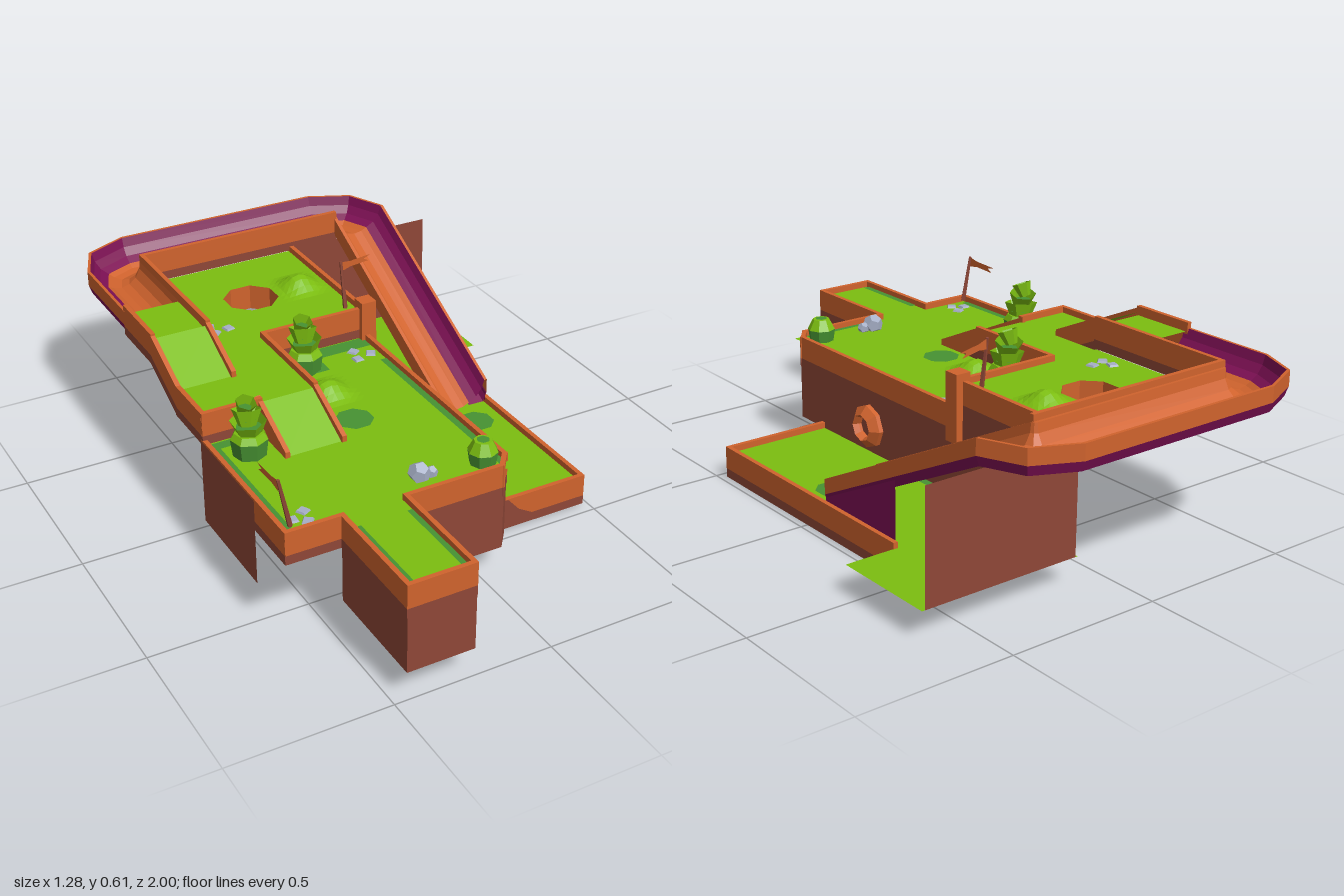
import * as THREE from 'three';

const material = (name, color) => {
  const m = new THREE.MeshStandardMaterial({ color, flatShading: true, side: THREE.DoubleSide });
  m.name = name;
  return m;
};

export function createModel() {
  const root = new THREE.Group();
  root.name = 'miniGolfCourse';
  const turf = material('turf green', 0x7cbe10);
  const moss = material('moss green', 0x479232);
  const orange = material('orange clay', 0xd0632d);
  const brown = material('brown clay', 0x8f4737);
  const purple = material('purple', 0x7d1054);
  const stone = material('grey stone', 0xa6afc6);
  const LOW = 0.355, MID = 0.445, HIGH = 0.535, BASE = 0.09;

  const add = (name, geo, mat, x = 0, y = 0, z = 0, parent = root) => {
    const m = new THREE.Mesh(geo, mat);
    m.name = name;
    m.position.set(x, y, z);
    parent.add(m);
    return m;
  };
  const poly = pts => new THREE.Shape(pts.map(p => new THREE.Vector2(...p)));

  // Floors: rectangle between x and z limits, height given at both z ends
  const floor = (name, x1, x2, z1, z2, y1, y2 = y1, mat = turf) => {
    const g = new THREE.PlaneGeometry(x2 - x1, z2 - z1).rotateX(-Math.PI / 2);
    g.translate((x1 + x2) / 2, 0, (z1 + z2) / 2);
    const p = g.attributes.position;
    for (let i = 0; i < p.count; i++) p.setY(i, p.getZ(i) < (z1 + z2) / 2 ? y1 : y2);
    return add(name, g, mat);
  };
  floor('teeFloor', -0.455, -0.255, 0.63, 0.99, LOW);
  floor('lowerFloor', -0.63, 0.1, 0.27, 0.63, LOW);
  floor('lowerPocketFloor', -0.63, -0.445, 0.09, 0.27, LOW);
  floor('lowerBackFloor', -0.26, 0.1, -0.265, 0.27, LOW);
  floor('firstRamp', -0.445, -0.26, 0.09, 0.27, MID, LOW);
  floor('middleFloor', -0.63, -0.26, -0.09, 0.09, MID);
  floor('middlePassage', -0.445, -0.26, -0.265, -0.09, MID);
  floor('secondRamp', -0.63, -0.445, -0.27, -0.09, HIGH, MID);
  floor('topLanding', -0.63, -0.445, -0.48, -0.27, HIGH - 0.01);
  floor('bottomFloor', 0.1, 0.47, -0.8, 0.455, BASE);
  floor('bottomSideFloor', 0.47, 0.645, -0.8, -0.45, BASE);
  floor('tunnelFloor', -0.065, 0.1, 0.09, 0.455, BASE);

  // Cup deck with an eight-sided hole
  const deck = poly([[-0.445, 0.265], [0.1, 0.265], [0.1, 0.795], [-0.445, 0.795]]);
  const rim = Array.from({ length: 8 }, (_, i) => {
    const a = (i + 0.5) * Math.PI / 4;
    return new THREE.Vector2(-0.175 + 0.091 * Math.cos(a), 0.535 + 0.091 * Math.sin(a));
  });
  deck.holes.push(new THREE.Path(rim));
  add('cupDeck', new THREE.ShapeGeometry(deck).rotateX(-Math.PI / 2), turf, 0, MID, 0);
  add('cupWall', new THREE.CylinderGeometry(0.091, 0.091, 0.085, 8, 1, true).rotateY(Math.PI / 8),
    orange, -0.175, MID - 0.0425, -0.535);

  // Gentle mounds
  for (const [x, y, z] of [[-0.17, LOW, 0], [0, MID, -0.535]]) {
    const g = new THREE.PlaneGeometry(0.18, 0.18, 8, 8).rotateX(-Math.PI / 2);
    const p = g.attributes.position;
    for (let i = 0; i < p.count; i++) {
      const c = Math.cos(p.getX(i) / 0.18 * Math.PI) * Math.cos(p.getZ(i) / 0.18 * Math.PI);
      p.setY(i, 0.001 + 0.042 * c * c);
    }
    add('mound', g, turf, x, y, z);
  }

  // Kerb walls: orange band above a thin brown base, following the floor slope
  const kerb = (x1, z1, x2, z2, f1, f2 = f1) => {
    const L = Math.hypot(x2 - x1, z2 - z1), e = 0.007;
    for (const [name, a, b, mat] of [['kerb', -0.055, 0.02, orange], ['kerbBase', -0.085, -0.055, brown]]) {
      const s = poly([[-e, f1 + a], [L + e, f2 + a], [L + e, f2 + b], [-e, f1 + b]]);
      const g = new THREE.ExtrudeGeometry(s, { depth: 0.015, bevelEnabled: false }).translate(0, 0, -0.0075);
      add(name, g, mat, x1, 0, z1).rotation.y = -Math.atan2(z2 - z1, x2 - x1);
    }
  };
  const kerbs = [
    [-0.455, 0.99, -0.255, 0.99, LOW], [-0.255, 0.99, -0.255, 0.63, LOW], [-0.455, 0.63, -0.455, 0.99, LOW],
    [-0.255, 0.63, 0.06, 0.63, LOW], [0.06, 0.63, 0.1, 0.58, LOW], [0.1, 0.58, 0.1, -0.265, LOW],
    [-0.627, 0.63, -0.455, 0.63, LOW], [-0.627, 0.63, -0.627, 0.095, LOW],
    [-0.627, 0.095, -0.445, 0.095, MID], [-0.627, 0.09, -0.627, -0.09, MID],
    [-0.445, 0.27, -0.445, 0.09, LOW, MID], [-0.26, 0.27, -0.26, 0.09, LOW, MID],
    [-0.26, 0.09, -0.26, -0.265, MID], [-0.26, -0.265, 0.1, -0.265, MID], [0.1, -0.265, 0.1, -0.795, MID],
    [-0.627, -0.09, -0.627, -0.27, MID, HIGH], [-0.445, -0.09, -0.445, -0.27, MID, HIGH],
    [-0.627, -0.27, -0.627, -0.48, HIGH], [-0.445, -0.27, -0.445, -0.795, HIGH], [-0.445, -0.795, 0.27, -0.795, HIGH],
    [0.11, 0.455, 0.475, 0.455, BASE], [0.475, 0.455, 0.475, -0.445, BASE],
  ];
  for (const k of kerbs) kerb(...k);

  // Thin skirts hanging below the decks
  const skirt = (x1, z1, x2, z2, lo, hi, mat = brown) => {
    const g = new THREE.PlaneGeometry(Math.hypot(x2 - x1, z2 - z1), hi - lo);
    add('skirt', g, mat, (x1 + x2) / 2, (lo + hi) / 2, (z1 + z2) / 2).rotation.y = -Math.atan2(z2 - z1, x2 - x1);
  };
  skirt(-0.461, 0.997, -0.249, 0.997, BASE, 0.3);
  skirt(-0.249, 0.997, -0.249, 0.637, BASE, 0.3);
  skirt(-0.461, 0.637, -0.461, 0.997, BASE, 0.3);
  skirt(-0.249, 0.637, 0.065, 0.637, BASE, 0.3);
  skirt(0.065, 0.637, 0.108, 0.583, BASE, 0.3);
  skirt(0.108, 0.583, 0.108, -0.265, BASE, 0.3);
  skirt(0.108, -0.265, 0.108, -0.8, BASE, 0.39);
  skirt(0.108, -0.8, 0.635, -0.8, BASE, MID);
  skirt(-0.636, 0.45, -0.636, 0.09, BASE, 0.37);
  skirt(-0.065, 0.458, 0.11, 0.458, 0, 0.11);
  // Brown wedge at the front corner of the bottom deck
  add('cornerWedge', new THREE.ShapeGeometry(poly([[0.1, 0.03], [0.3, 0.03], [0.24, 0.065], [0.2, 0.11], [0.1, 0.11]])),
    brown, 0, 0, 0.464);
  // Purple support under the slide
  add('slideSupport', new THREE.ShapeGeometry(poly([[0.09, 0.1], [0.44, 0.1], [0.44, 0.3], [0.09, 0.13]]))
    .rotateY(Math.PI / 2), purple, 0.466, 0, 0);

  // Banked channel: inner edge, outer edge and rim height at each station
  const stations = [
    [-0.44, -0.47, -0.635, -0.47, HIGH], [-0.44, -0.8, -0.635, -0.8, HIGH],
    [-0.44, -0.8, -0.58, -0.935, HIGH], [-0.44, -0.8, -0.44, -1, HIGH],
    [0.27, -0.8, 0.27, -1, HIGH], [0.27, -0.8, 0.41, -0.935, HIGH],
    [0.27, -0.8, 0.47, -0.8, HIGH], [0.27, -0.09, 0.47, -0.09, 0.18],
  ];
  const sweep = (name, profile, mat) => {
    const pos = [];
    const at = ([xi, zi, xo, zo, y], [u, v]) => [xi + (xo - xi) * u, y + v, zi + (zo - zi) * u];
    for (let i = 0; i + 1 < stations.length; i++) {
      for (let j = 0; j + 1 < profile.length; j++) {
        const a = at(stations[i], profile[j]), b = at(stations[i + 1], profile[j]);
        const c = at(stations[i + 1], profile[j + 1]), d = at(stations[i], profile[j + 1]);
        pos.push(...a, ...d, ...b, ...b, ...d, ...c);
      }
    }
    const g = new THREE.BufferGeometry();
    g.setAttribute('position', new THREE.Float32BufferAttribute(pos, 3));
    g.computeVertexNormals();
    add(name, g, mat);
  };
  sweep('channelTrough', [[0, -0.06], [0, 0], [0.06, 0], [0.08, -0.03], [0.16, -0.06], [0.28, -0.078],
    [0.42, -0.085], [0.56, -0.08], [0.66, -0.07]], orange);
  sweep('channelBank', [[0.66, -0.07], [0.8, -0.055], [0.9, -0.03], [0.95, 0]], purple);
  sweep('channelRim', [[0.95, 0], [1, 0], [1, -0.05]], orange);
  sweep('channelRimBase', [[1, -0.05], [0.94, -0.082], [0.66, -0.08]], purple);

  // Corner post and ball outlet
  add('cornerPost', new THREE.BoxGeometry(0.052, 0.22, 0.052), orange, 0.106, 0.38, -0.265);
  const outlet = [[0.035, -0.01], [0.035, 0.02], [0.045, 0.038], [0.072, 0.015], [0.072, 0]];
  add('ballOutlet', new THREE.LatheGeometry(outlet.map(p => new THREE.Vector2(...p)), 8).rotateZ(-Math.PI / 2),
    orange, 0.108, 0.18, 0.185);
  add('outletInside', new THREE.CircleGeometry(0.04, 8).rotateY(Math.PI / 2), brown, 0.118, 0.18, 0.185);

  // Flags with forked banners
  const flag = (x, y, z, turn, lean) => {
    const g = new THREE.Group();
    g.name = 'flag';
    g.position.set(x, y, z);
    g.rotation.set(0, turn, 0);
    root.add(g);
    add('flagPole', new THREE.CylinderGeometry(0.005, 0.008, 0.16, 5), brown, 0, 0.08, 0, g).rotation.x = lean;
    const s = poly([[0, 0], [0.04, 0.006], [0.12, 0.002], [0.1, 0.014], [0.13, 0.022], [0.04, 0.026], [0, 0.034]]);
    add('flagBanner', new THREE.ShapeGeometry(s), orange, 0, 0.123, 0.08 * Math.sin(lean), g);
  };
  flag(0.06, MID, -0.33, 0.25, -0.12);
  flag(-0.615, LOW + 0.01, 0.6, Math.PI / 2, -0.2);

  // Potted plants built from tilted flaring cups
  const plant = (x, z) => {
    const g = new THREE.Group();
    g.name = 'plant';
    g.position.set(x, LOW, z);
    root.add(g);
    add('plantBase', new THREE.CylinderGeometry(0.057, 0.05, 0.055, 7), moss, 0, 0.0275, 0, g);
    add('plantShoulder', new THREE.CylinderGeometry(0.045, 0.057, 0.02, 7), turf, 0, 0.065, 0, g);
    const cups = [[0.055, 0.035, 0.05, 0.09, 0.1], [0.045, 0.026, 0.05, 0.125, -0.18], [0.032, 0.018, 0.045, 0.158, 0.22]];
    cups.forEach(([r1, r2, h, y, tilt], i) => {
      const c = add('leafCup', new THREE.CylinderGeometry(r1, r2, h, 6, 1, true), turf, -0.005 * i, y, 0, g);
      c.rotation.set(tilt * 0.7, i, tilt);
      add('leafCore', new THREE.CircleGeometry(r2 * 1.2, 6).rotateX(-Math.PI / 2), moss, -0.005 * i, y, 0, g);
    });
  };
  plant(-0.53, 0.2);
  plant(-0.165, -0.165);

  // Small bush, rock and pebbles
  add('bushBase', new THREE.CylinderGeometry(0.046, 0.04, 0.04, 8), moss, 0.035, LOW + 0.02, 0.565);
  add('bushTop', new THREE.CylinderGeometry(0.028, 0.046, 0.035, 8), turf, 0.035, LOW + 0.057, 0.565);
  add('bushCentre', new THREE.CircleGeometry(0.02, 6).rotateX(-Math.PI / 2), moss, 0.035, LOW + 0.076, 0.565);
  add('rock', new THREE.DodecahedronGeometry(0.034), stone, -0.168, LOW + 0.02, 0.552);
  add('smallRock', new THREE.DodecahedronGeometry(0.02), stone, -0.13, LOW + 0.012, 0.555);
  const pebbles = [[-0.38, -0.365, MID], [-0.33, -0.375, MID], [-0.38, -0.41, MID],
    [0.02, -0.19, LOW], [0.01, -0.14, LOW], [0.065, -0.155, LOW],
    [-0.53, 0.54, LOW], [-0.575, 0.565, LOW], [-0.54, 0.59, LOW]];
  pebbles.forEach(([x, z, y], i) =>
    add('pebble', new THREE.CylinderGeometry(0.018, 0.022, 0.006, 4).rotateY(i), stone, x, y + 0.003, z));

  // Moss patches on the turf
  const patches = [[-0.25, 0.09, -0.257, -0.2, LOW], [-0.22, -0.1, -0.2, -0.12, LOW], [0.07, 0.092, -0.1, 0.6, LOW],
    [-0.18, 0.06, 0.605, 0.622, LOW], [-0.618, -0.595, 0.11, 0.6, LOW], [-0.618, -0.46, 0.105, 0.14, LOW],
    [-0.447, -0.425, 0.68, 0.97, LOW], [-0.28, -0.263, 0.68, 0.97, LOW], [0.11, 0.135, -0.78, -0.1, BASE]];
  for (const [x1, x2, z1, z2, y] of patches) floor('mossStrip', x1, x2, z1, z2, y + 0.003, y + 0.003, moss);
  for (const [x, y, z] of [[-0.175, LOW, 0.18], [0.375, BASE, 0]])
    add('mossPatch', new THREE.CircleGeometry(0.06, 8).rotateX(-Math.PI / 2).rotateY(Math.PI / 8), moss, x, y + 0.003, z);

  return root;
}
